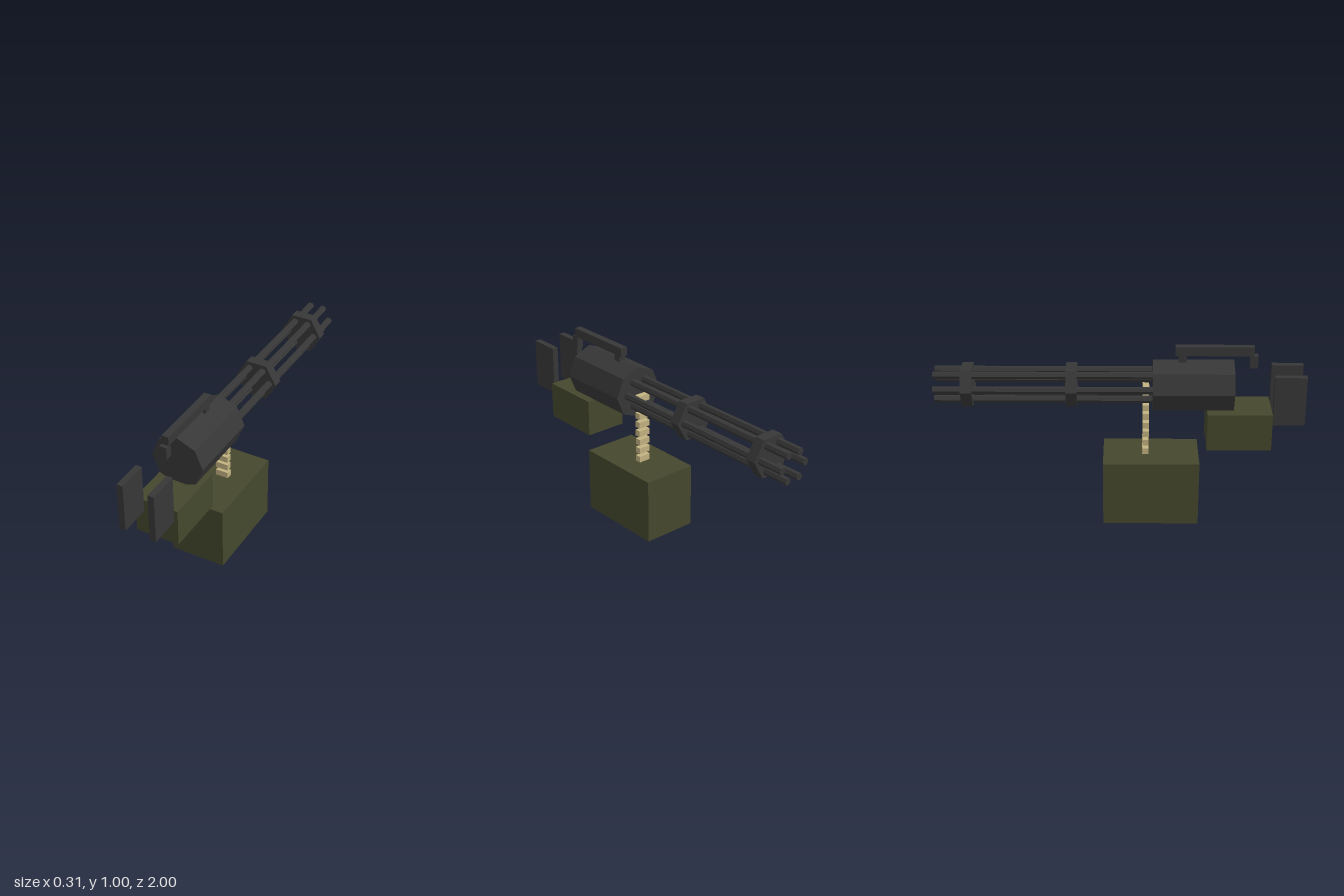
import * as THREE from 'three';

const mat = (name, color, extra = {}) => {
  const m = new THREE.MeshStandardMaterial({ color, flatShading: true, ...extra });
  m.name = name;
  return m;
};

export function createModel() {
  const group = new THREE.Group();
  const gunmetal = mat('gunmetal', 0x373737);
  const olive = mat('olive', 0x45482d, { side: THREE.DoubleSide });
  const sand = mat('sand', 0xc2b280);
  const axisY = 0.775;

  const add = (name, geometry, material, x, y, z) => {
    const mesh = new THREE.Mesh(geometry, material);
    mesh.name = name;
    mesh.position.set(x, y, z);
    group.add(mesh);
    return mesh;
  };

  // Box given by its limits on each axis
  const box = (name, material, [x0, x1], [y0, y1], [z0, z1]) =>
    add(name, new THREE.BoxGeometry(x1 - x0, y1 - y0, z1 - z0), material,
      (x0 + x1) / 2, (y0 + y1) / 2, (z0 + z1) / 2);

  // Prism along z with its first corner on the x axis
  const prism = (name, sides, radius, z0, z1, x = 0, y = axisY) => {
    const geo = new THREE.CylinderGeometry(radius, radius, z1 - z0, sides);
    geo.rotateY(Math.PI / 2).rotateX(Math.PI / 2);
    return add(name, geo, gunmetal, x, y, (z0 + z1) / 2);
  };

  // Remove the bottom face of a box
  const openBottom = (mesh) => {
    const geo = mesh.geometry;
    geo.setIndex(Array.from(geo.index.array).filter((_, i) => i < 18 || i >= 24));
    geo.clearGroups();
  };

  // Ammunition and battery boxes, open underneath
  openBottom(box('ammoBox', olive, [-0.157, 0.157], [0, 0.37], [-0.088, 0.437]));
  openBottom(box('batteryBox', olive, [-0.123, 0.123], [0.44, 0.65], [0.475, 0.825]));

  // Feed belt links
  for (let i = 0; i < 8; i++) {
    const y = 0.388 + i * 0.0525;
    box('beltLink', sand, [-0.036, 0.036], [y - 0.0175, y + 0.0175], [0.127, 0.162]);
  }

  // Octagonal housing
  prism('housing', 8, 0.148, 0.18, 0.615);

  // Six barrels and the clamps that hold them
  for (let i = 0; i < 6; i++) {
    const a = (i * Math.PI) / 3;
    prism('barrel', 6, 0.02, -1, 0.2, Math.cos(a) * 0.08, axisY + Math.sin(a) * 0.08);
  }
  prism('rearClamp', 6, 0.121, -0.287, -0.228);
  prism('frontClamp', 6, 0.121, -0.85, -0.79);

  // Carry handle on two posts
  box('carryHandle', gunmetal, [-0.02, 0.02], [0.95, 1], [0.3, 0.72]);
  box('rearPost', gunmetal, [-0.02, 0.02], [0.88, 0.95], [0.7, 0.742]);
  box('frontPost', gunmetal, [-0.02, 0.02], [0.88, 0.95], [0.317, 0.36]);

  // Rear grips
  box('leftGrip', gunmetal, [0.07, 0.105], [0.583, 0.861], [0.828, 1]);
  box('rightGrip', gunmetal, [-0.105, -0.07], [0.583, 0.861], [0.828, 1]);

  return group;
}
